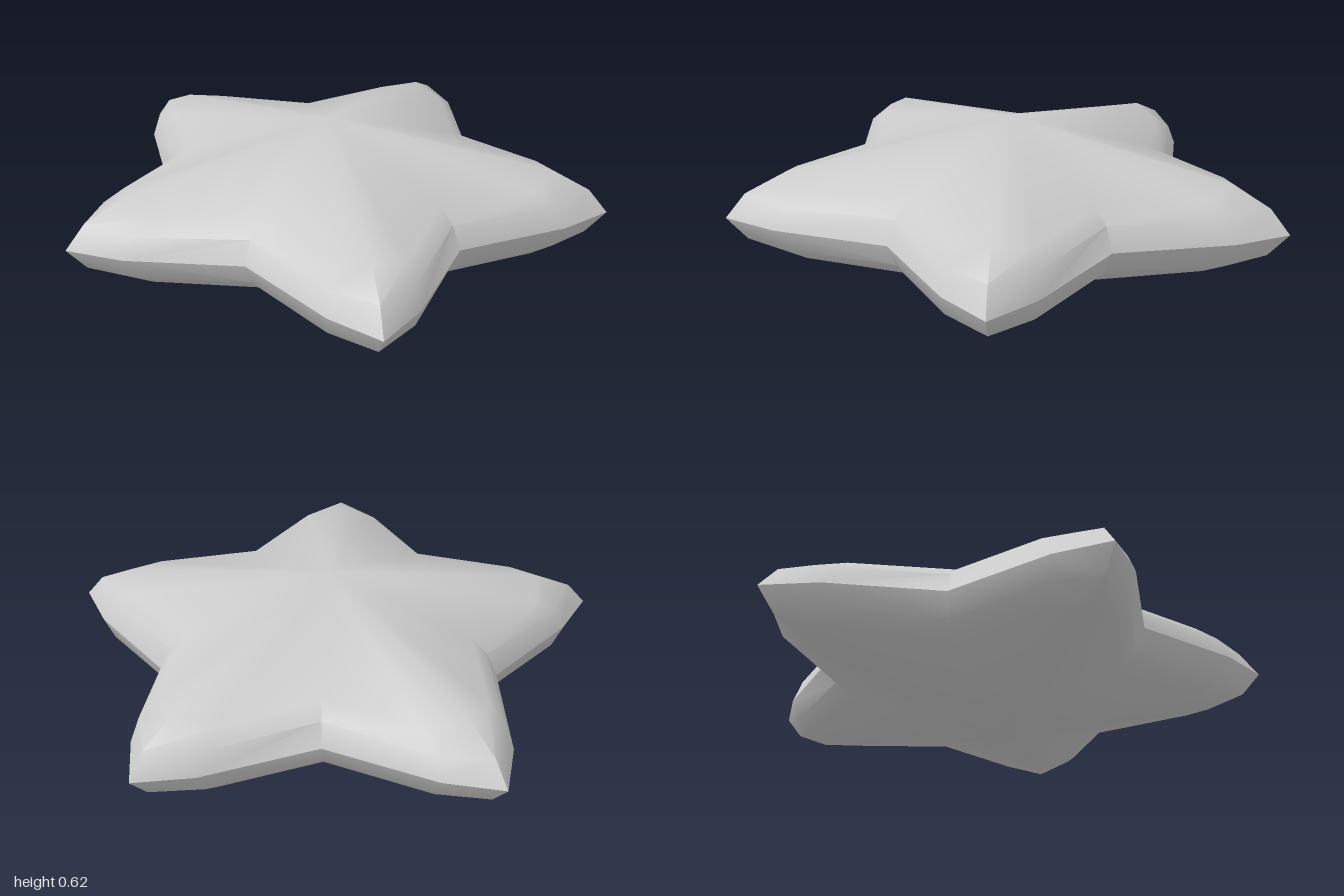
import * as THREE from 'three';
import { toCreasedNormals } from 'three/addons/utils/BufferGeometryUtils.js';

const MID = 0.308; // height of the equator and half the thickness
const CENTRE_X = 0.097;

// Each spoke: [radius, angle from arm axis, then (radius scale, height) of the two upper rings]
const ARM = [
  { r: 0.908, a: -9.8, rings: [[1, 0], [0.955, 0.08], [0.87, 0.127]] }, // shoulder
  { r: 1.05, a: 0, rings: [[1, 0], [0.93, 0.088], [0.795, 0.155]] },    // tip
  { r: 0.908, a: 9.8, rings: [[1, 0], [0.955, 0.08], [0.87, 0.127]] },  // shoulder
  { r: 0.65, a: 36, rings: [[1, 0], [0.94, 0.085], [0.85, 0.137]] },    // valley
];

// One half of the star: side = 1 for the top, -1 for the underside
function halfStar(side) {
  const spokes = [];
  for (let k = 0; k < 5; k++) {
    for (const { r, a, rings } of ARM) {
      const t = THREE.MathUtils.degToRad(180 + k * 72 + a);
      spokes.push(rings.map(([s, h]) => new THREE.Vector3(r * s * Math.cos(t), side * h, r * s * Math.sin(t))));
    }
  }
  const apex = new THREE.Vector3(0, side * MID, 0);
  const pos = [];
  const tri = (a, b, c) => {
    for (const p of side > 0 ? [a, b, c] : [a, c, b]) pos.push(p.x, p.y, p.z);
  };
  spokes.forEach((p, i) => {
    const q = spokes[(i + 1) % spokes.length];
    // rounded rim
    for (let j = 0; j < 2; j++) {
      tri(p[j], p[j + 1], q[j]);
      tri(q[j], p[j + 1], q[j + 1]);
    }
    // sloping face up to the peak
    tri(p[2], apex, q[2]);
  });
  const geo = new THREE.BufferGeometry();
  geo.setAttribute('position', new THREE.Float32BufferAttribute(pos, 3));
  return toCreasedNormals(geo, 0.74);
}

export function createModel() {
  const star = new THREE.Group();
  star.name = 'star';
  const material = new THREE.MeshStandardMaterial({ color: 0xcccccc });
  for (const [name, side] of [['upperHalf', 1], ['lowerHalf', -1]]) {
    const mesh = new THREE.Mesh(halfStar(side), material);
    mesh.name = name;
    mesh.position.set(CENTRE_X, MID, 0);
    star.add(mesh);
  }
  return star;
}
